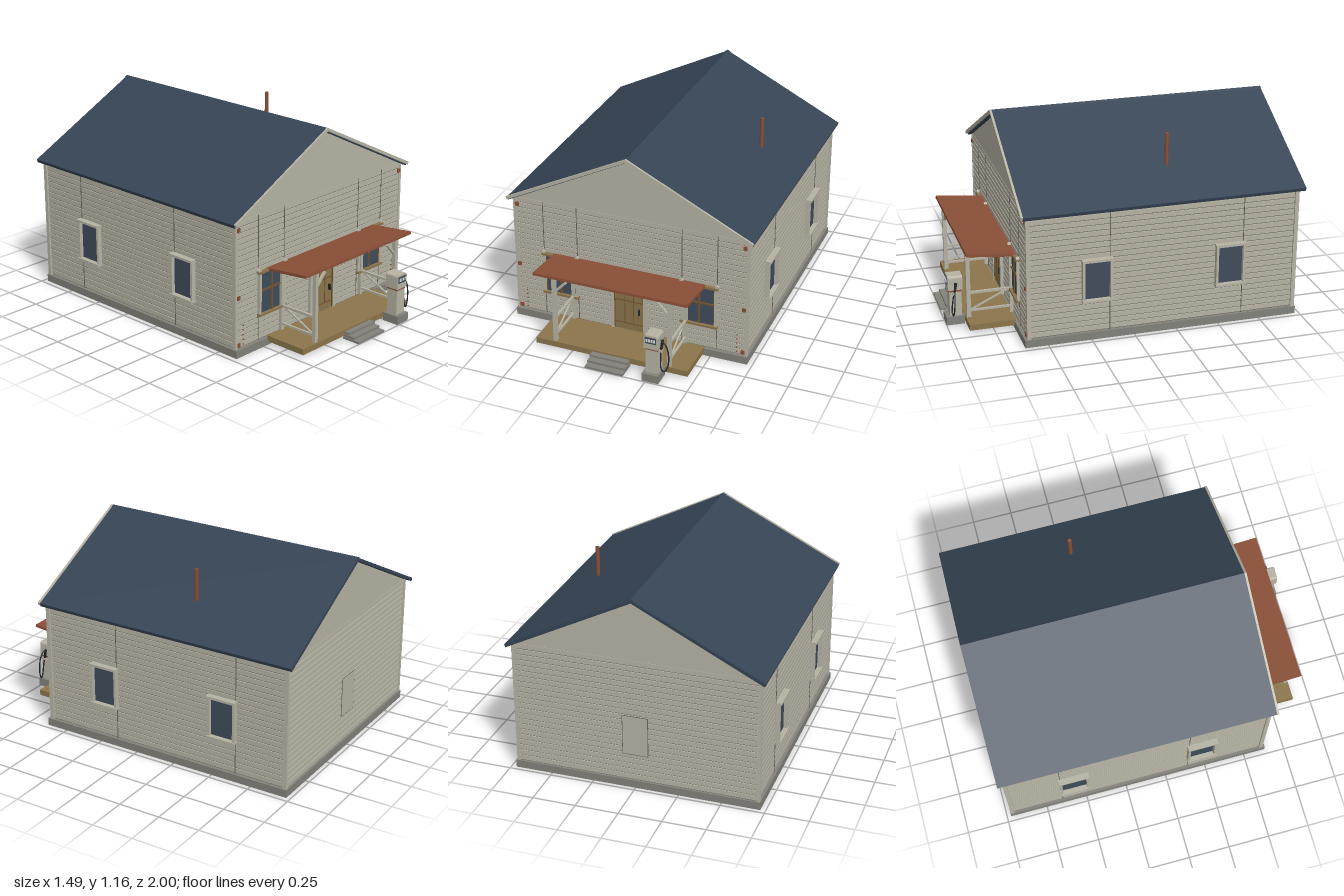
import * as THREE from 'three';

const mat = (name, color) => {
  const m = new THREE.MeshStandardMaterial({ color });
  m.name = name;
  return m;
};

export function createModel() {
  const siding = mat('siding', 0xb6b3a4), seam = mat('seam', 0x66645b);
  const navy = mat('roofNavy', 0x364454), glass = mat('glass', 0x3f4c5b);
  const rust = mat('rust', 0x8a4f37), wood = mat('wood', 0x8b754b);
  const brown = mat('darkWood', 0x74552f), stone = mat('stone', 0x82817a);
  const black = mat('black', 0x20252a), white = mat('white', 0xdcdcd4);

  const root = new THREE.Group();
  root.name = 'cabin';
  const group = (name, parent = root) => {
    const g = new THREE.Group();
    g.name = name;
    parent.add(g);
    return g;
  };
  const add = (name, geo, m, parent = root) => {
    const mesh = new THREE.Mesh(geo, m);
    mesh.name = name;
    parent.add(mesh);
    return mesh;
  };
  // box given by its extents
  const box = (name, m, x0, x1, y0, y1, z0, z1, parent) => {
    const mesh = add(name, new THREE.BoxGeometry(x1 - x0, y1 - y0, z1 - z0), m, parent);
    mesh.position.set((x0 + x1) / 2, (y0 + y1) / 2, (z0 + z1) / 2);
    return mesh;
  };
  // square timber between two points
  const beam = (name, m, a, b, t, parent) => {
    const A = new THREE.Vector3(...a), B = new THREE.Vector3(...b);
    const mesh = add(name, new THREE.BoxGeometry(t, t, A.distanceTo(B)), m, parent);
    mesh.position.copy(A).add(B).multiplyScalar(0.5);
    mesh.lookAt(B);
    return mesh;
  };
  // outline in x and y, extruded from z0 to z1
  const prism = (name, m, pts, z0, z1, parent) => {
    const shape = new THREE.Shape(pts.map(p => new THREE.Vector2(...p)));
    const geo = new THREE.ExtrudeGeometry(shape, { depth: z1 - z0, bevelEnabled: false });
    geo.translate(0, 0, z0);
    return add(name, geo, m, parent);
  };

  // foundation and walls: a dark core wrapped by lap boards
  box('foundation', stone, -0.72, 0.72, 0, 0.045, -0.976, 0.633);
  const walls = group('walls');
  box('wallCore', seam, -0.699, 0.699, 0.045, 0.785, -0.962, 0.61, walls);
  const rows = 22, step = 0.74 / rows;
  for (let i = 0; i < rows; i++) {
    const y = 0.045 + i * step;
    box('lapBoard', siding, -0.705, 0.705, y + 0.006, y + step, -0.968, 0.616, walls);
  }
  for (const x of [-0.53, -0.32, 0.32, 0.53])
    box('frontSeam', seam, x - 0.002, x + 0.002, 0.045, 0.785, 0.61, 0.6175, walls);
  for (const s of [-1, 1]) {
    for (const z of [0.14, -0.645]) {
      const strip = box('sideSeam', seam, -0.003, 0.003, 0.045, 0.785, z - 0.002, z + 0.002, walls);
      strip.position.x = s * 0.7045;
    }
    // corner boards
    for (const [z0, z1] of [[0.596, 0.62], [-0.972, -0.948]])
      box('cornerBoard', siding, s * 0.706 - 0.009, s * 0.706 + 0.009, 0.045, 0.785, z0, z1, walls);
    // iron wall plates and bolts
    for (const y of [0.742, 0.348, 0.068])
      box('wallPlate', rust, s * 0.69 - 0.011, s * 0.69 + 0.011, y - 0.011, y + 0.011, 0.616, 0.625, walls);
    for (let i = 0; i < 5; i++)
      box('bolt', rust, s * 0.652 - 0.003, s * 0.652 + 0.003, 0.06 + i * 0.028, 0.067 + i * 0.028, 0.614, 0.62, walls);
  }
  prism('gable', siding, [[-0.704, 0.784], [0.704, 0.784], [0, 1.139]], -0.966, 0.614, walls);

  // roof
  const roof = group('roof');
  prism('roofSlab', navy, [[0, 1.16], [-0.742, 0.787], [-0.736, 0.768], [0, 1.14], [0.736, 0.768], [0.742, 0.787]], -1, 0.638, roof);
  prism('ridgeCap', navy, [[0, 1.165], [-0.018, 1.154], [0.018, 1.154]], -1, 0.638, roof);
  prism('bargeBoard', siding, [[0, 1.165], [-0.744, 0.792], [-0.738, 0.775], [0, 1.146], [0.738, 0.775], [0.744, 0.792]], 0.638, 0.651, roof);
  add('stovePipe', new THREE.CylinderGeometry(0.012, 0.012, 0.2, 8), rust).position.set(0.48, 1, -0.255);

  // front windows
  for (const s of [-1, 1]) {
    const w = group('frontWindow');
    w.position.set(s * 0.426, 0, 0);
    box('pane', glass, -0.093, 0.093, 0.205, 0.448, 0.612, 0.62, w);
    for (const k of [-1, 1]) {
      box('windowJamb', siding, k * 0.1 - 0.008, k * 0.1 + 0.008, 0.2, 0.45, 0.612, 0.632, w);
      box('windowSash', brown, k * 0.09 - 0.003, k * 0.09 + 0.003, 0.205, 0.447, 0.612, 0.626, w);
      const knob = add('headKnob', new THREE.CylinderGeometry(0.012, 0.012, 0.018, 12), siding, w);
      knob.rotation.x = Math.PI / 2;
      knob.position.set(k * 0.106, 0.462, 0.626);
    }
    box('mullion', brown, -0.006, 0.006, 0.205, 0.447, 0.612, 0.626, w);
    box('crossBar', brown, -0.09, 0.09, 0.333, 0.344, 0.612, 0.627, w);
    box('windowHead', wood, -0.114, 0.114, 0.445, 0.459, 0.612, 0.638, w);
    box('windowSill', wood, -0.112, 0.112, 0.192, 0.205, 0.612, 0.638, w);
  }

  // side windows
  for (const s of [-1, 1]) for (const z of [0.217, -0.565]) {
    const w = group('sideWindow');
    w.position.set(s * 0.705, 0, z);
    w.rotation.y = s * Math.PI / 2;
    box('pane', glass, -0.075, 0.075, 0.25, 0.48, -0.002, 0.006, w);
    for (const k of [-1, 1])
      box('windowJamb', siding, k * 0.08 - 0.007, k * 0.08 + 0.007, 0.245, 0.485, -0.002, 0.028, w);
    box('windowHead', siding, -0.09, 0.09, 0.478, 0.492, -0.002, 0.036, w);
    box('windowSill', siding, -0.09, 0.09, 0.236, 0.25, -0.002, 0.036, w);
  }

  // blocked window at the back
  const back = group('backWindow');
  box('backRim', seam, -0.076, 0.076, 0.205, 0.447, -0.9695, -0.962, back);
  box('backPanel', siding, -0.072, 0.072, 0.209, 0.443, -0.971, -0.963, back);

  // door
  const door = group('door');
  box('doorLeaf', wood, -0.088, 0.088, 0.055, 0.435, 0.612, 0.622, door);
  for (const s of [-1, 1]) {
    box('doorJamb', siding, s * 0.1 - 0.01, s * 0.1 + 0.01, 0.05, 0.445, 0.612, 0.634, door);
    box('doorEdge', brown, s * 0.089 - 0.002, s * 0.089 + 0.002, 0.055, 0.435, 0.612, 0.63, door);
    box('doorStile', brown, s * 0.027 - 0.002, s * 0.027 + 0.002, 0.1, 0.375, 0.618, 0.625, door);
    box('topStile', brown, s * 0.027 - 0.002, s * 0.027 + 0.002, 0.385, 0.43, 0.618, 0.625, door);
  }
  for (const y of [0.38, 0.248, 0.098])
    box('doorRail', brown, -0.087, 0.087, y - 0.003, y + 0.003, 0.618, 0.626, door);
  box('doorHead', wood, -0.112, 0.112, 0.435, 0.447, 0.612, 0.636, door);
  box('doorHandle', black, 0.059, 0.066, 0.17, 0.205, 0.62, 0.638, door);

  // porch
  const porch = group('porch');
  box('deck', wood, -0.465, 0.462, 0.02, 0.055, 0.625, 0.893, porch);
  const awning = add('porchRoof', new THREE.BoxGeometry(0.927, 0.016, 0.284), rust, porch);
  awning.position.set(-0.0015, 0.468, 0.76);
  awning.rotation.x = -0.105;
  for (const s of [-1, 1]) {
    const x = s * 0.348;
    box('post', siding, x - 0.011, x + 0.011, 0.055, 0.472, 0.863, 0.887, porch);
    box('wallPost', siding, x - 0.01, x + 0.01, 0.055, 0.446, 0.615, 0.636, porch);
    beam('postBrace', siding, [x, 0.375, 0.875], [x - s * 0.075, 0.455, 0.875], 0.014, porch);
    beam('topRail', siding, [x, 0.203, 0.63], [x, 0.203, 0.87], 0.014, porch);
    beam('lowRail', siding, [x, 0.093, 0.63], [x, 0.093, 0.87], 0.012, porch);
    beam('railBrace', siding, [x, 0.203, 0.64], [x, 0.098, 0.86], 0.009, porch);
  }
  for (let i = 0; i < 3; i++)
    box('frontStep', stone, -0.115, 0.115, i * 0.016, 0.013 + i * 0.016, 0.885, 0.998 - i * 0.035, porch);

  // fuel pump
  const pump = group('fuelPump');
  box('pumpBase', stone, 0.232, 0.33, 0.005, 0.055, 0.895, 1, pump);
  box('pumpBody', siding, 0.247, 0.318, 0.055, 0.207, 0.908, 0.978, pump);
  box('pumpBand', rust, 0.245, 0.32, 0.205, 0.216, 0.906, 0.98, pump);
  const head = new THREE.Shape();
  head.moveTo(0.239, 0.216);
  head.lineTo(0.323, 0.216);
  head.lineTo(0.323, 0.288);
  head.quadraticCurveTo(0.322, 0.302, 0.309, 0.302);
  head.lineTo(0.253, 0.302);
  head.quadraticCurveTo(0.24, 0.302, 0.239, 0.288);
  const headGeo = new THREE.ExtrudeGeometry(head, { depth: 0.085, bevelEnabled: false, curveSegments: 4 });
  headGeo.translate(0, 0, 0.901);
  add('pumpHead', headGeo, siding, pump);
  box('pumpDisplay', glass, 0.248, 0.314, 0.252, 0.291, 0.982, 0.989, pump);
  for (let i = 0; i < 4; i++)
    box('counter', white, 0.254 + i * 0.0145, 0.264 + i * 0.0145, 0.262, 0.281, 0.986, 0.991, pump);
  const hosePath = new THREE.CatmullRomCurve3([
    [0.32, 0.262, 0.945], [0.35, 0.245, 0.95], [0.371, 0.2, 0.955], [0.372, 0.11, 0.96],
    [0.352, 0.072, 0.965], [0.335, 0.09, 0.968], [0.33, 0.16, 0.96], [0.328, 0.21, 0.95],
  ].map(p => new THREE.Vector3(...p)));
  add('hose', new THREE.TubeGeometry(hosePath, 40, 0.004, 6), black, pump);
  beam('nozzle', black, [0.328, 0.2, 0.95], [0.333, 0.262, 0.938], 0.011, pump);
  box('nozzleHolder', siding, 0.316, 0.336, 0.19, 0.205, 0.935, 0.96, pump);

  return root;
}
